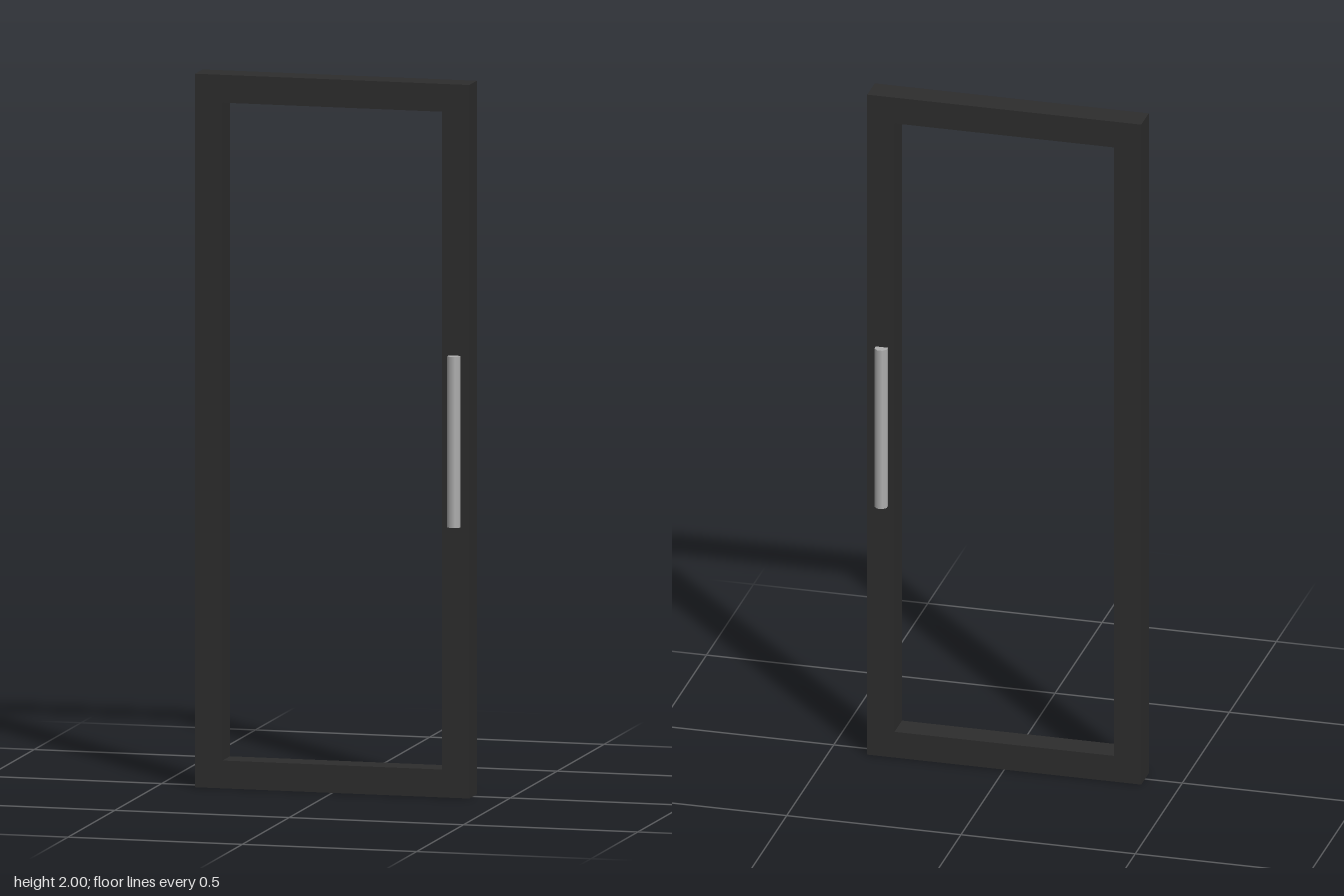
import * as THREE from 'three';

export function createModel() {
  const model = new THREE.Group();
  model.name = 'door';

  const darkFrame = new THREE.MeshStandardMaterial({ color: 0x2d2d2d });
  darkFrame.name = 'dark frame';
  const greyMetal = new THREE.MeshStandardMaterial({ color: 0xb0b0b0 });
  greyMetal.name = 'grey metal';

  const halfWidth = 0.393, height = 2, border = 0.078, depth = 0.08;

  // Rectangular frame with an open centre
  const outline = new THREE.Shape([
    new THREE.Vector2(-halfWidth, 0),
    new THREE.Vector2(halfWidth, 0),
    new THREE.Vector2(halfWidth, height),
    new THREE.Vector2(-halfWidth, height),
  ]);
  const inner = halfWidth - border;
  outline.holes.push(new THREE.Path([
    new THREE.Vector2(-inner, border),
    new THREE.Vector2(-inner, height - border),
    new THREE.Vector2(inner, height - border),
    new THREE.Vector2(inner, border),
  ]));
  const frameGeometry = new THREE.ExtrudeGeometry(outline, { depth, bevelEnabled: false });
  frameGeometry.translate(0, 0, -depth / 2);
  const frame = new THREE.Mesh(frameGeometry, darkFrame);
  frame.name = 'frame';
  model.add(frame);

  // Eight-sided pull bars, half sunk into both faces of the left stile
  const apothem = 0.0175;
  const barGeometry = new THREE.CylinderGeometry(
    apothem / Math.cos(Math.PI / 8), apothem / Math.cos(Math.PI / 8), 0.48, 8);
  barGeometry.rotateY(Math.PI / 8);
  for (const [name, side] of [['frontHandle', 1], ['backHandle', -1]]) {
    const handle = new THREE.Mesh(barGeometry, greyMetal);
    handle.name = name;
    handle.position.set(0.351, 1, side * 0.047);
    model.add(handle);
  }

  return model;
}
